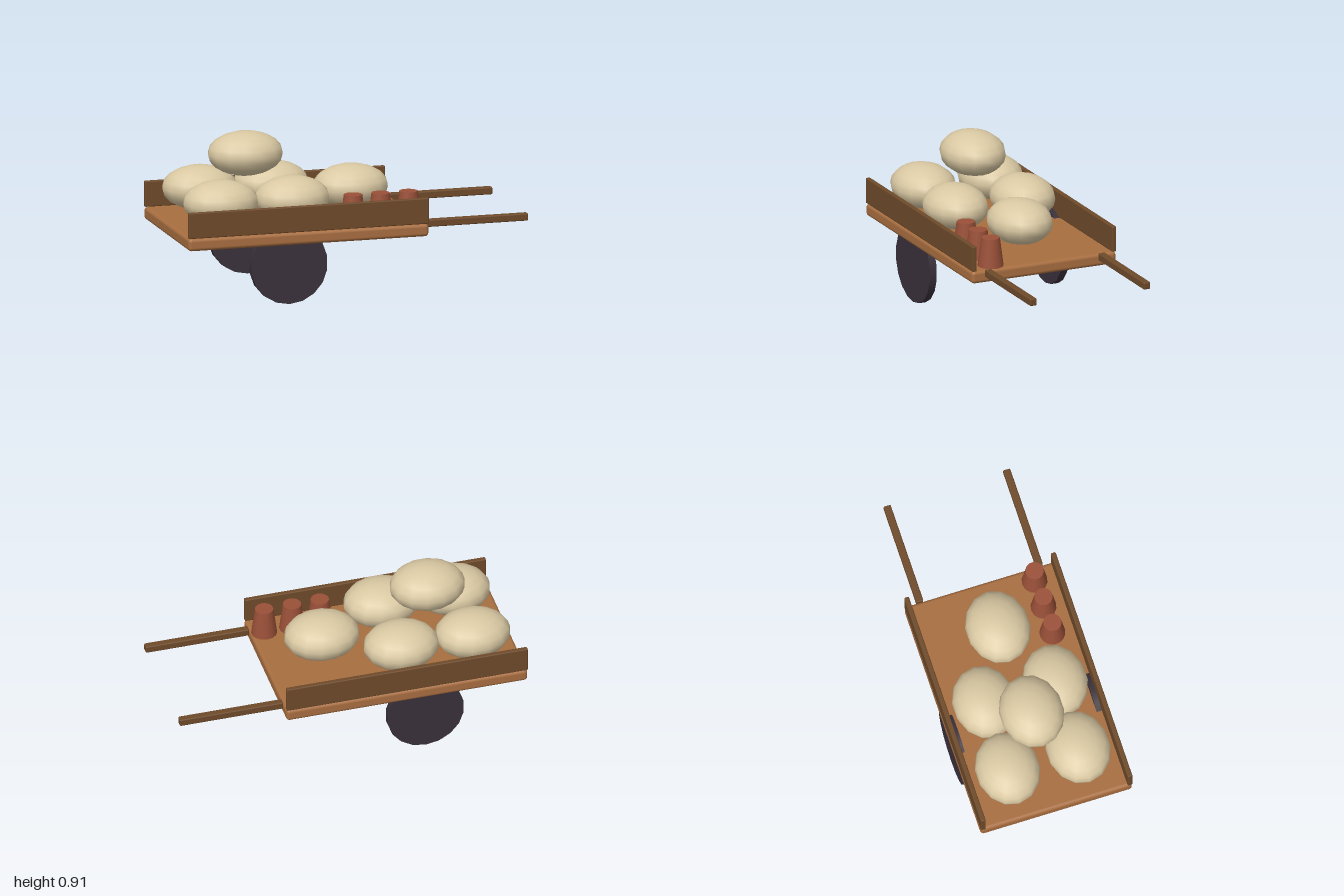
import * as THREE from 'three';
import { RoundedBoxGeometry } from 'three/addons/geometries/RoundedBoxGeometry.js';

const material = (name, color) => {
  const m = new THREE.MeshStandardMaterial({ color });
  m.name = name;
  return m;
};

export function createModel() {
  const wood = material('light wood', 0xa86e40);
  const darkWood = material('dark wood', 0x6e4a2a);
  const wheelPaint = material('dark wheel', 0x3a313b);
  const cloth = material('sack cloth', 0xdac9a3);
  const clay = material('clay', 0x9a5038);

  const cart = new THREE.Group();
  cart.name = 'handcart';

  const add = (name, geometry, mat, x, y, z) => {
    const mesh = new THREE.Mesh(geometry, mat);
    mesh.name = name;
    mesh.position.set(x, y, z);
    cart.add(mesh);
    return mesh;
  };

  // Flat bed
  add('bed', new RoundedBoxGeometry(1.4, 0.072, 0.89, 3, 0.02), wood, -0.3, 0.374, 0);

  // Mirrored side boards, handles and solid wheels
  const board = new RoundedBoxGeometry(1.4, 0.147, 0.028, 2, 0.006);
  const handle = new RoundedBoxGeometry(0.6, 0.042, 0.042, 2, 0.007);
  const wheel = new THREE.CylinderGeometry(0.2235, 0.2235, 0.043, 18).rotateX(Math.PI / 2);
  for (const [side, s] of [['front', 1], ['back', -1]]) {
    add(side + 'Board', board, darkWood, -0.3, 0.4845, s * 0.431);
    add(side + 'Handle', handle, darkWood, 0.7, 0.396, s * 0.351);
    add(side + 'Wheel', wheel, wheelPaint, -0.41, 0.2235, s * 0.409);
  }

  // Plump sacks: four in a block, one on top, one beside
  const sack = new THREE.SphereGeometry(1, 14, 10).scale(0.216, 0.125, 0.181);
  const sacks = [
    [-0.745, 0.557, 0.207], [-0.745, 0.557, -0.207],
    [-0.33, 0.557, 0.207], [-0.33, 0.557, -0.207],
    [0.073, 0.557, 0], [-0.54, 0.782, 0],
  ];
  for (const [x, y, z] of sacks) add('sack', sack, cloth, x, y, z);

  // Row of tapered clay pots
  const pot = new THREE.CylinderGeometry(0.052, 0.073, 0.165, 14);
  for (const x of [0, 0.161, 0.323]) add('pot', pot, clay, x, 0.4915, 0.297);

  return cart;
}
